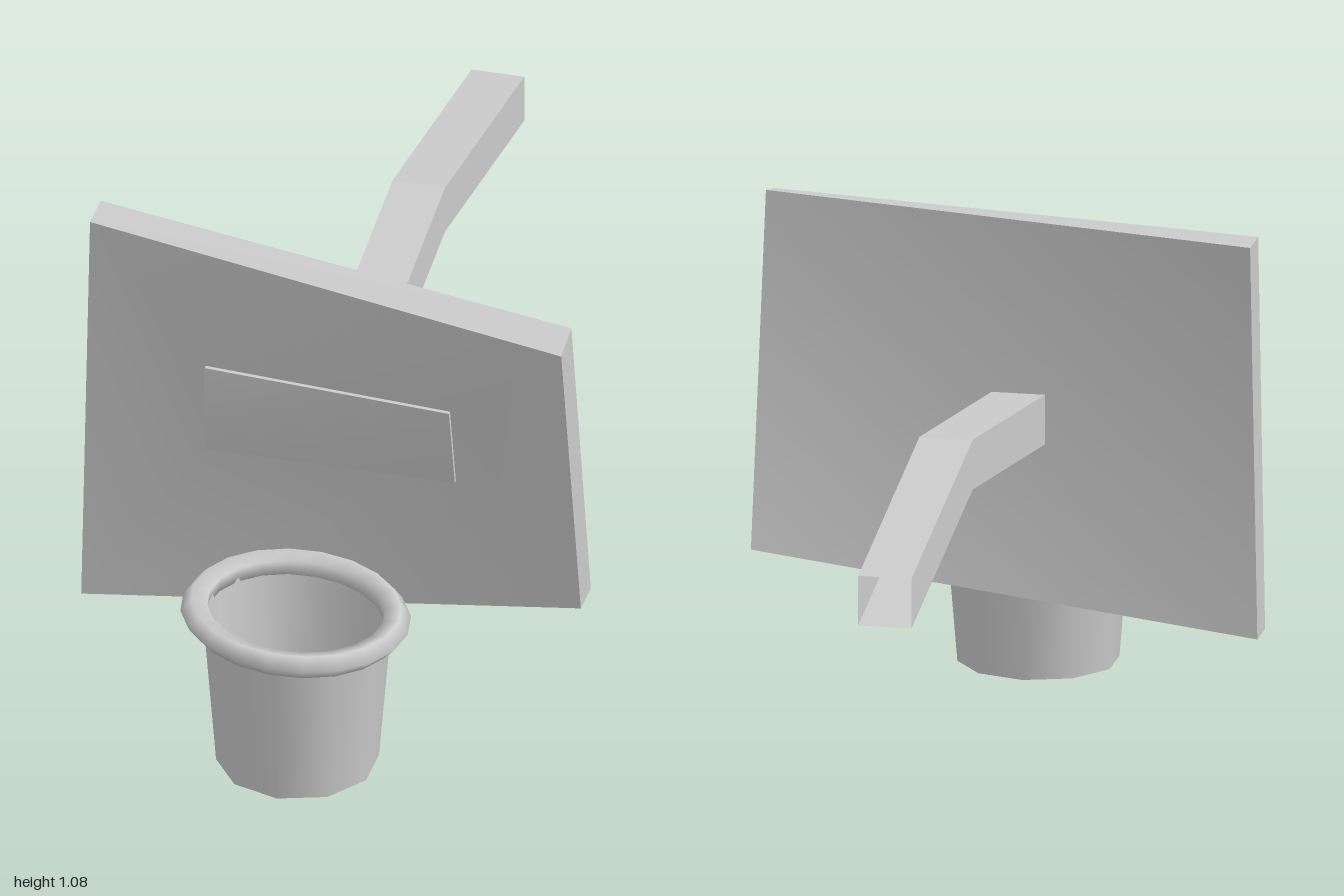
import * as THREE from 'three';
import { toCreasedNormals } from 'three/addons/utils/BufferGeometryUtils.js';

function material(options = {}) {
  return new THREE.MeshStandardMaterial({ color: 0xcccccc, ...options });
}

function addMesh(group, name, geometry, mat) {
  const mesh = new THREE.Mesh(geometry, mat);
  mesh.name = name;
  group.add(mesh);
  return mesh;
}

// Skin a series of four-cornered rings (counter-clockwise seen from +z, going
// from back to front), optionally closing both ends
function loft(rings, capped) {
  const index = [];
  for (let r = 0; r < rings.length - 1; r++) {
    for (let k = 0; k < 4; k++) {
      const a = r * 4 + k, b = r * 4 + (k + 1) % 4;
      index.push(a, b, b + 4, a, b + 4, a + 4);
    }
  }
  if (capped) {
    const f = (rings.length - 1) * 4;
    index.push(0, 2, 1, 0, 3, 2, f, f + 1, f + 2, f, f + 2, f + 3);
  }
  const geometry = new THREE.BufferGeometry();
  geometry.setAttribute('position', new THREE.Float32BufferAttribute(rings.flat(2), 3));
  geometry.setIndex(index);
  return toCreasedNormals(geometry, 0.5);
}

export function createModel() {
  const group = new THREE.Group();
  group.name = 'basketballHoop';

  // Twisted backboard: back, front edge and the frame around the target panel.
  // Corners run bottom left, bottom right, top right, top left as seen in front.
  const back = [[-0.56, 0.17, 0.42], [0.56, 0.31, 0.42], [0.56, 1.075, 0.585], [-0.56, 1.075, 0.34]];
  const front = [[-0.56, 0.17, 0.505], [0.56, 0.31, 0.505], [0.56, 1.055, 0.672], [-0.56, 1.075, 0.43]];
  const inner = [[-0.28, 0.592, 0.508], [0.28, 0.592, 0.505], [0.28, 0.799, 0.555], [-0.28, 0.799, 0.508]];
  addMesh(group, 'backboard', loft([back, front, inner], true), material());

  // Thin raised target panel
  const raised = inner.map(([x, y, z]) => [x, y, z + 0.01]);
  addMesh(group, 'targetPanel', loft([inner, raised], true), material());

  // Bent hollow support arm, open at both ends
  const armRings = [[-1, 0.62], [-0.325, 0.745], [0.47, 0.625]].map(([z, y]) => [
    [-0.08, y - 0.056, z], [0.038, y - 0.056, z], [0.038, y + 0.056, z], [-0.08, y + 0.056, z],
  ]);
  addMesh(group, 'supportArm', loft(armRings, false),
    material({ flatShading: true, side: THREE.DoubleSide }));

  // Tilted rim
  const rimGeometry = new THREE.TorusGeometry(0.22, 0.032, 5, 20);
  rimGeometry.rotateX(Math.PI / 2);
  rimGeometry.scale(1, 0.9, 0.935);
  const rim = addMesh(group, 'rim', rimGeometry, material());
  rim.position.set(-0.011, 0.364, 0.765);
  rim.rotation.z = -0.055;

  // Tapered net, open at top and bottom; its top edge follows the rim
  const net = new THREE.CylinderGeometry(0.206, 0.177, 0.36, 10, 1, true);
  net.translate(-0.006, 0.18, 0.768);
  const pos = net.attributes.position;
  for (let i = 0; i < pos.count; i++) {
    if (pos.getY(i) > 0.2) pos.setY(i, 0.362 - 0.055 * pos.getX(i));
  }
  addMesh(group, 'net', net, material({ side: THREE.DoubleSide }));

  return group;
}
